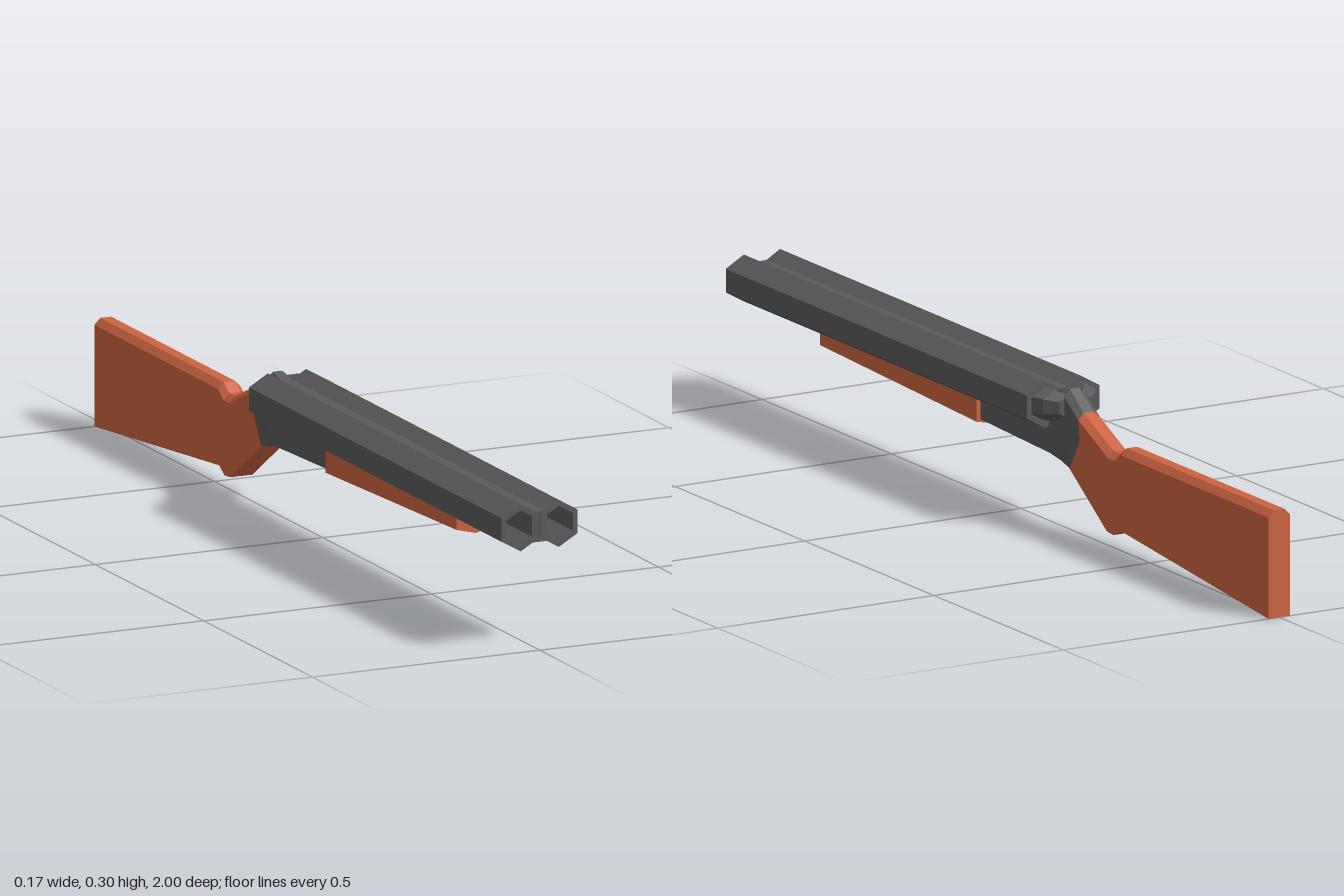
import * as THREE from 'three';

const metal = new THREE.MeshStandardMaterial({ color: 0x5a5a5a, flatShading: true });
const wood = new THREE.MeshStandardMaterial({ color: 0xcc6340, flatShading: true });

// Skin closed rings of [x, y, z] points, ordered front to back, with end caps.
function loft(rings) {
  const n = rings[0].length;
  const index = [];
  for (let i = 0; i < rings.length - 1; i++) {
    for (let j = 0; j < n; j++) {
      const a = i * n + j, b = i * n + (j + 1) % n;
      index.push(a, a + n, b, b, a + n, b + n);
    }
  }
  const last = (rings.length - 1) * n;
  for (let j = 1; j < n - 1; j++) {
    index.push(0, j, j + 1, last, last + j + 1, last + j);
  }
  const g = new THREE.BufferGeometry();
  g.setAttribute('position', new THREE.Float32BufferAttribute(rings.flat(2), 3));
  g.setIndex(index);
  const flat = g.toNonIndexed();
  flat.computeVertexNormals();
  return flat;
}

// Complete a left half-section (listed bottom to top) by mirroring it.
function mirrored(half) {
  const other = half.filter(p => p[0] > 0).reverse().map(([x, y, z]) => [-x, y, z]);
  return [...half, ...other];
}

// Upright hexagon ring with its points up and down.
function hexagon(cx, cy, r) {
  return Array.from({ length: 6 }, (_, i) => {
    const a = Math.PI / 6 + i * Math.PI / 3;
    return [cx + r * Math.cos(a), cy + r * Math.sin(a)];
  });
}

export function createModel() {
  const group = new THREE.Group();
  const add = (name, geometry, material) => {
    const mesh = new THREE.Mesh(geometry, material);
    mesh.name = name;
    group.add(mesh);
    return mesh;
  };
  const toPath = pts => pts.map(p => new THREE.Vector2(...p));

  // Twin hollow barrels with breech caps tapering into the receiver
  for (const [side, s] of [['left', 1], ['right', -1]]) {
    const shape = new THREE.Shape(toPath(hexagon(s * 0.042, 0.255, 0.048)));
    shape.holes.push(new THREE.Path(toPath(hexagon(s * 0.042, 0.255, 0.036))));
    const barrel = new THREE.ExtrudeGeometry(shape, { depth: 1.165, bevelEnabled: false });
    add(side + 'Barrel', barrel.translate(0, 0, -0.165), metal);

    const cap = [[-0.15, 0.042, 0.036], [-0.168, 0.042, 0.034], [-0.188, 0.034, 0.031], [-0.212, 0.016, 0.024]]
      .map(([z, cx, r]) => hexagon(s * cx, 0.258, r).map(([x, y]) => [x, y, z]));
    add(side + 'BreechCap', loft(cap), metal);
  }

  // Web joining the barrels
  const rib = new THREE.BoxGeometry(0.032, 0.063, 1.163);
  add('barrelRib', rib.translate(0, 0.2535, 0.4175), metal);

  // Fore-end with a shallow V underside, deeper towards the rear
  const foreEnd = [[0.705, 0.172, 0.183], [0.1, 0.152, 0.161]].map(([z, keel, edge]) =>
    mirrored([[0, keel, z], [0.042, edge, z], [0.042, 0.209, z], [0.014, 0.224, z]]));
  add('foreEnd', loft(foreEnd), wood);

  // Receiver running from the fore-end into the grip
  const receiver = [
    [[0, 0.156, 0.102], [0.033, 0.165, 0.102], [0.033, 0.19, 0.102], [0.033, 0.212, 0.102], [0.01, 0.225, 0.102]],
    [[0, 0.147, -0.165], [0.033, 0.156, -0.165], [0.033, 0.2, -0.165], [0.033, 0.25, -0.165], [0.01, 0.284, -0.165]],
    [[0, 0.142, -0.2], [0.025, 0.146, -0.2], [0.026, 0.2, -0.21], [0.025, 0.28, -0.208], [0.01, 0.293, -0.208]],
    [[0, 0.137, -0.23], [0.025, 0.137, -0.23], [0.025, 0.2, -0.27], [0.025, 0.243, -0.265], [0.012, 0.256, -0.262]],
  ];
  add('receiver', loft(receiver.map(mirrored)), metal);

  // Stock: [bottom z, y, middle z, y, top z, y] with a bevelled comb
  const stock = [
    [-0.23, 0.137, -0.27, 0.2, -0.262, 0.256],
    [-0.375, 0.04, -0.375, 0.13, -0.38, 0.204],
    [-0.4, 0.038, -0.4, 0.13, -0.405, 0.204],
    [-0.425, 0.053, -0.425, 0.13, -0.43, 0.221],
    [-1, 0, -1, 0.13, -1, 0.221],
  ].map(([bz, by, mz, my, tz, ty]) => mirrored([
    [0.025, by, bz], [0.025, my, mz], [0.025, ty - 0.013, tz - (tz > -0.3 ? 0.003 : 0)], [0.012, ty, tz],
  ]));
  add('stock', loft(stock), wood);

  return group;
}
